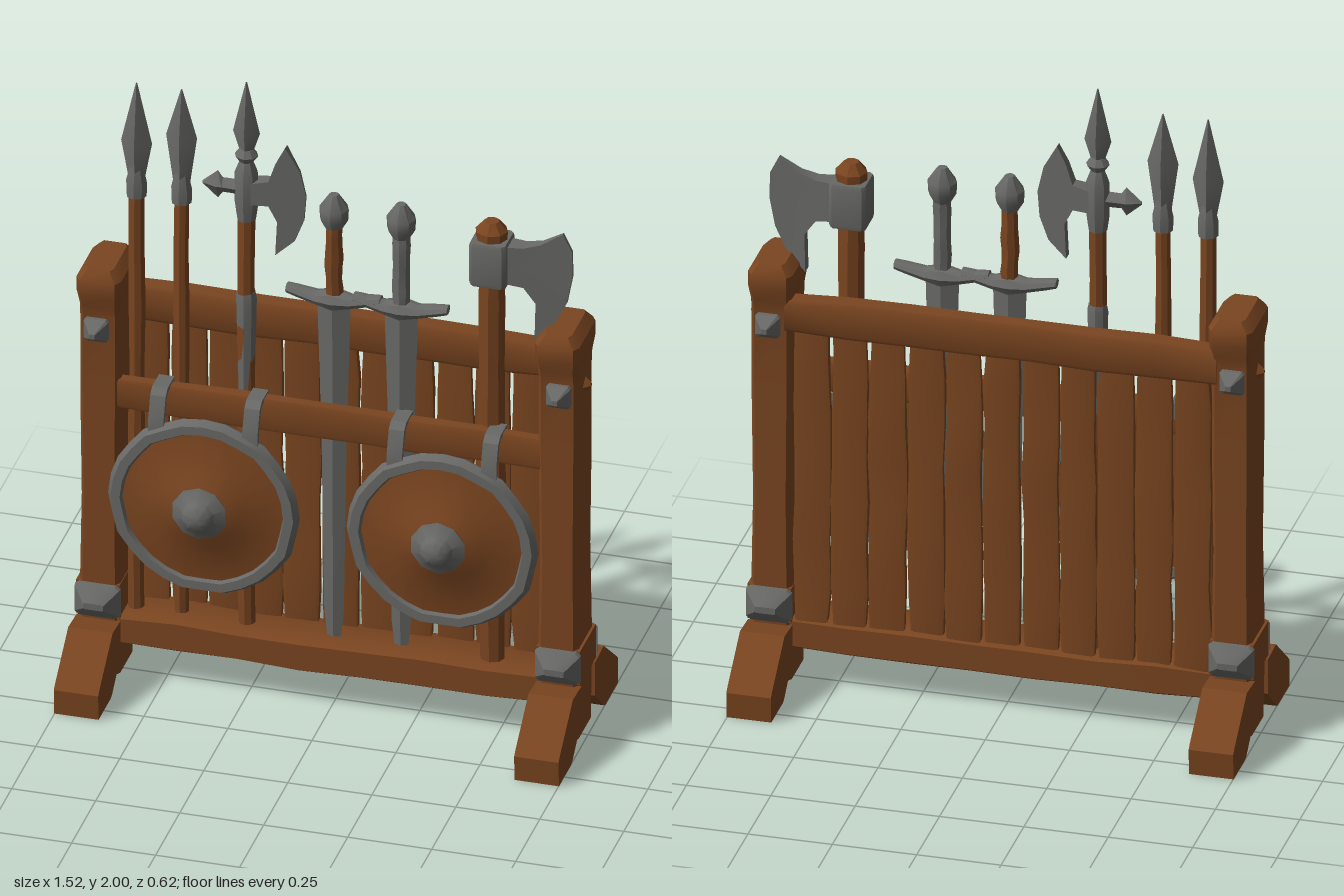
import * as THREE from 'three';
import { toCreasedNormals } from 'three/addons/utils/BufferGeometryUtils.js';

const wood = new THREE.MeshStandardMaterial({ color: 0x7a4520 });
wood.name = 'wood';
const iron = new THREE.MeshStandardMaterial({ color: 0x686866 });
iron.name = 'iron';

// Cross-section rings as [x, z] pairs in unit size
const CHAMFER = [[1, -0.8], [1, 0.8], [0.8, 1], [-0.8, 1], [-1, 0.8], [-1, -0.8], [-0.8, -1], [0.8, -1]];
const DIAMOND = [[1, 0], [0, 1], [-1, 0], [0, -1]];
const ROUND = Array.from({ length: 8 }, (_, i) => [Math.cos(i * Math.PI / 4), Math.sin(i * Math.PI / 4)]);

let seed = 7;
function rand() { // -1 to 1
  seed = (seed * 16807) % 2147483647;
  return seed / 1073741823.5 - 1;
}

// Skin over sections [y, halfX, halfZ, offsetX, offsetZ]
function loft(sections, ring) {
  const n = ring.length, pos = [], idx = [];
  for (const [y, hx, hz, ox = 0, oz = 0] of sections)
    for (const [x, z] of ring) pos.push(ox + x * hx, y, oz + z * hz);
  for (let s = 0; s < sections.length - 1; s++)
    for (let i = 0; i < n; i++) {
      const a = s * n + i, b = s * n + (i + 1) % n;
      idx.push(a, a + n, b, b, a + n, b + n);
    }
  const top = (sections.length - 1) * n;
  for (let i = 1; i < n - 1; i++) idx.push(0, i, i + 1, top, top + i + 1, top + i);
  const g = new THREE.BufferGeometry();
  g.setAttribute('position', new THREE.Float32BufferAttribute(pos, 3));
  g.setIndex(idx);
  return g;
}

// Hand-hewn bar from y0 to y1 with slightly uneven sides
function hewn(y0, y1, hx, hz, wobble = 0.004, ring = CHAMFER, steps = 7) {
  const s = [];
  for (let i = 0; i <= steps; i++) {
    const k = i === 0 || i === steps ? 0.93 : 1;
    s.push([y0 + (y1 - y0) * i / steps, hx * k + rand() * wobble, hz * k + rand() * wobble,
      rand() * wobble, rand() * wobble]);
  }
  return loft(s, ring);
}

function add(parent, name, geo, mat, x = 0, y = 0, z = 0) {
  geo.computeVertexNormals();
  const m = new THREE.Mesh(toCreasedNormals(geo, 0.6), mat);
  m.name = name;
  m.position.set(x, y, z);
  parent.add(m);
  return m;
}

function group(parent, name, x = 0, y = 0, z = 0) {
  const g = new THREE.Group();
  g.name = name;
  g.position.set(x, y, z);
  parent.add(g);
  return g;
}

function plate(points, depth) {
  const g = new THREE.ExtrudeGeometry(new THREE.Shape(points.map(p => new THREE.Vector2(...p))),
    { depth, bevelEnabled: false });
  return g.translate(0, 0, -depth / 2);
}

// Axe blade that thins towards its cutting edge at distance reach
function axeBlade(points, depth, reach) {
  const g = plate(points, depth), p = g.attributes.position;
  for (let i = 0; i < p.count; i++)
    p.setZ(i, p.getZ(i) * Math.max(0.12, 1 - Math.abs(p.getX(i)) / reach));
  return g;
}

function buildFrame(root) {
  const frame = group(root, 'frame');
  for (const side of [-1, 1]) {
    const x = side * 0.682;
    add(frame, 'post', loft([[0.02, 0.058, 0.08], [0.2, 0.06, 0.084], [0.34, 0.06, 0.084], [0.6, 0.056, 0.081],
      [0.95, 0.06, 0.083], [1.2, 0.06, 0.083], [1.235, 0.06, 0.09], [1.28, 0.066, 0.104],
      [1.325, 0.066, 0.104], [1.355, 0.04, 0.084]], CHAMFER), wood, x);
    for (const dir of [-1, 1]) {
      // Splayed foot, profile drawn in z and y
      const foot = plate([[0.07, 0.09], [0.165, 0.005], [0.18, 0], [0.305, 0], [0.31, 0.08], [0.295, 0.095],
        [0.16, 0.205], [0.07, 0.2]], 0.132);
      foot.rotateY(-Math.PI / 2);
      if (dir < 0) foot.rotateY(Math.PI);
      add(frame, 'foot', foot, wood, side * 0.685);
      // Iron fittings with pointed faces
      const low = loft([[0, 0.068, 0.054], [0.012, 0.066, 0.052], [0.05, 0.03, 0.01]], CHAMFER);
      add(frame, 'footBracket', low.rotateX(dir * Math.PI / 2), iron, side * 0.685, 0.265, dir * 0.082);
      const stud = loft([[0, 0.036, 0.036], [0.015, 0.036, 0.036], [0.054, 0.008, 0.008]], CHAMFER);
      add(frame, 'topStud', stud.rotateX(dir * Math.PI / 2), iron, side * 0.688, 1.16, dir * 0.08);
    }
    const peg = loft([[0, 0.028, 0.028], [0.02, 0.008, 0.008]], DIAMOND);
    add(frame, 'sidePeg', peg.rotateZ(-side * Math.PI / 2), wood, side * 0.74, 1.16, 0);
  }
  add(frame, 'collar', new THREE.BoxGeometry(0.13, 0.11, 0.166), wood, -0.685, 0.265);
  add(frame, 'collar', new THREE.BoxGeometry(0.13, 0.11, 0.166), wood, 0.685, 0.265);
  const rails = [['topBeam', 1.197, -0.057, 0.055, 0.03], ['middleRail', 0.95, 0.06, 0.05, 0.02],
    ['bottomBeam', 0.17, 0, 0.05, 0.08]];
  for (const [name, y, z, h, d] of rails)
    add(frame, name, hewn(-0.64, 0.64, h, d, 0.003).rotateZ(Math.PI / 2), wood, 0, y, z);
  // Back boarding
  const count = 11, pitch = 1.24 / count;
  for (let i = 0; i < count; i++)
    add(frame, 'plank', hewn(0.19, 1.18, pitch / 2 - 0.004, 0.012, 0.003), wood,
      -0.62 + pitch * (i + 0.5), 0, -0.057 + rand() * 0.004);
}

function buildShield(root, side) {
  const shield = group(root, 'shield', side * 0.355, 0.655);
  const lathe = pts => new THREE.LatheGeometry(pts.map(p => new THREE.Vector2(...p)), 24).rotateX(Math.PI / 2);
  add(shield, 'shieldBoard', lathe([[0, 0.112], [0.26, 0.112], [0.26, 0.142], [0.12, 0.158], [0.09, 0.178], [0, 0.178]]), wood);
  const rim = new THREE.TorusGeometry(0.257, 0.027, 6, 28), p = rim.attributes.position;
  for (let i = 0; i < p.count; i++) { // uneven hammered rim
    const a = Math.atan2(p.getY(i), p.getX(i)), k = 1 + 0.008 * Math.sin(a * 9) + 0.006 * Math.cos(a * 14);
    p.setXY(i, p.getX(i) * k, p.getY(i) * k);
  }
  add(shield, 'shieldRim', rim, iron, 0, 0, 0.132);
  add(shield, 'shieldBoss', new THREE.LatheGeometry([[0.08, 0.16], [0.083, 0.182], [0.05, 0.2], [0.04, 0.218], [0.018, 0.23], [0, 0.231]]
    .map(q => new THREE.Vector2(...q)), 10).rotateX(Math.PI / 2), iron);
  // Straps hooked over the rail
  for (const sx of [-0.14, 0.14]) {
    const strap = plate([[0.03, 0.3], [0.03, 0.352], [0.1, 0.352], [0.122, 0.335], [0.143, 0.27], [0.143, 0.21],
      [0.128, 0.21], [0.128, 0.268], [0.108, 0.325], [0.095, 0.337], [0.045, 0.337], [0.045, 0.3]], 0.046);
    add(shield, 'hangingStrap', strap.rotateY(-Math.PI / 2), iron, sx);
  }
}

function buildSpear(root, x, widest) {
  const spear = group(root, 'spear', x, 0, 0.005);
  add(spear, 'spearShaft', hewn(0.21, 1.6, 0.024, 0.024, 0.002, ROUND), wood);
  add(spear, 'spearSocket', loft([[1.575, 0.03, 0.03], [1.62, 0.031, 0.031], [1.67, 0.02, 0.02]], ROUND), iron);
  add(spear, 'spearHead', loft([[1.63, 0.024, 0.022], [widest, 0.046, 0.027], [1.945, 0.002, 0.002]], DIAMOND), iron);
}

function buildHalberd(root) {
  const h = group(root, 'halberd', -0.265, 0, 0.005);
  add(h, 'halberdShaft', hewn(0.21, 1.58, 0.027, 0.027, 0.002, ROUND), wood);
  add(h, 'halberdSleeve', loft([[0.97, 0.024, 0.03], [1.2, 0.029, 0.031], [1.29, 0.031, 0.032], [1.31, 0.027, 0.028]], ROUND), iron);
  add(h, 'halberdSocket', loft([[1.55, 0.028, 0.03], [1.6, 0.035, 0.035], [1.7, 0.035, 0.035], [1.74, 0.02, 0.02],
    [1.76, 0.035, 0.032], [1.78, 0.02, 0.02]], ROUND), iron);
  add(h, 'halberdSpike', loft([[1.76, 0.016, 0.016], [1.835, 0.04, 0.026], [2, 0.002, 0.002]], DIAMOND), iron);
  add(h, 'halberdBlade', axeBlade([[0.02, 1.61], [0.07, 1.61], [0.095, 1.56], [0.09, 1.45], [0.145, 1.5], [0.172, 1.57],
    [0.178, 1.65], [0.16, 1.73], [0.118, 1.805], [0.09, 1.75], [0.07, 1.69], [0.02, 1.68]], 0.06, 0.19), iron);
  add(h, 'halberdBeak', loft([[0.02, 0.025, 0.02], [0.07, 0.024, 0.018], [0.085, 0.045, 0.02], [0.13, 0.005, 0.005]], DIAMOND)
    .rotateZ(Math.PI / 2), iron, 0, 1.65);
}

function buildSword(root, x, gripMaterial) {
  const sword = group(root, 'sword', x, 0, 0.02);
  add(sword, 'swordBlade', loft([[0.215, 0.02, 0.008], [0.3, 0.029, 0.012], [0.9, 0.038, 0.016], [1.33, 0.05, 0.02]], DIAMOND), iron);
  add(sword, 'swordGrip', hewn(1.33, 1.585, 0.026, 0.026, 0.002, ROUND), gripMaterial);
  add(sword, 'swordPommel', loft([[1.565, 0.022, 0.022], [1.6, 0.042, 0.04], [1.635, 0.044, 0.042], [1.68, 0.014, 0.014]], ROUND), iron);
  // Drooping crossguard
  const guard = loft([[-0.14, 0.014, 0.02, -0.018], [-0.11, 0.017, 0.024, -0.012], [-0.05, 0.02, 0.03],
    [0, 0.034, 0.038], [0.05, 0.02, 0.03], [0.11, 0.017, 0.024, -0.012], [0.14, 0.014, 0.02, -0.018]], ROUND);
  add(sword, 'swordGuard', guard.rotateZ(Math.PI / 2).rotateY(Math.PI).rotateX(Math.PI), iron, 0, 1.333);
}

function buildAxe(root) {
  const axe = group(root, 'axe', 0.468, 0, 0.015);
  add(axe, 'axeHandle', hewn(0.21, 1.6, 0.04, 0.038, 0.002, ROUND), wood);
  add(axe, 'axeHandleTop', loft([[1.58, 0.045, 0.043], [1.635, 0.048, 0.045], [1.665, 0.022, 0.022]], ROUND), wood);
  add(axe, 'axeSocket', loft([[1.47, 0.052, 0.052], [1.482, 0.055, 0.055], [1.6, 0.055, 0.055], [1.61, 0.052, 0.052]], CHAMFER), iron);
  add(axe, 'axeBlade', axeBlade([[0.04, 1.48], [0.1, 1.47], [0.135, 1.42], [0.132, 1.3], [0.19, 1.36], [0.225, 1.43],
    [0.242, 1.52], [0.24, 1.6], [0.213, 1.655], [0.15, 1.615], [0.1, 1.6], [0.04, 1.6]], 0.075, 0.25), iron);
}

export function createModel() {
  seed = 7;
  const root = new THREE.Group();
  root.name = 'weaponRack';
  buildFrame(root);
  for (const side of [-1, 1]) buildShield(root, side);
  buildSpear(root, -0.592, 1.75);
  buildSpear(root, -0.458, 1.79);
  buildHalberd(root);
  buildSword(root, 0, wood);
  buildSword(root, 0.2, iron);
  buildAxe(root);
  return root;
}
